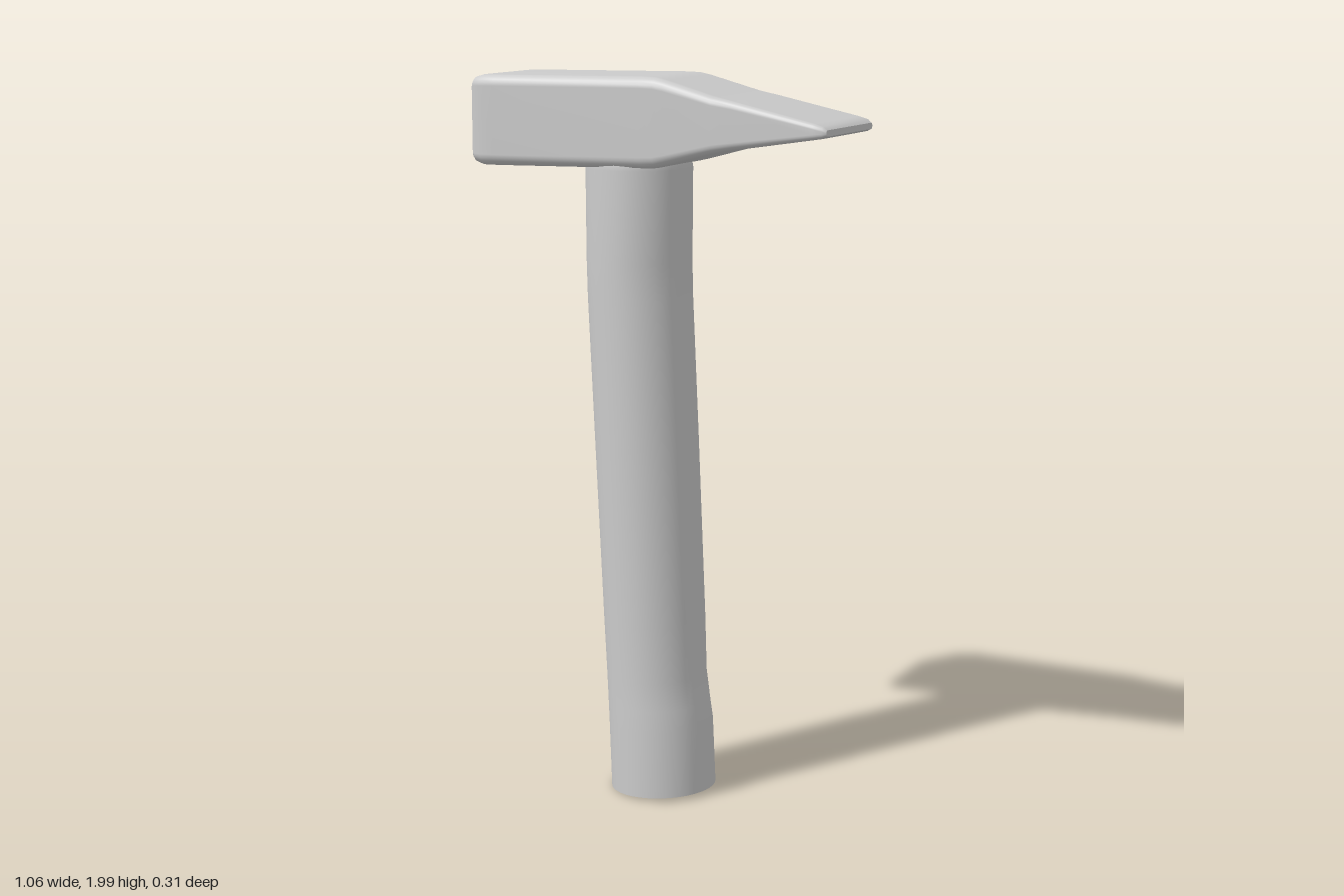
import * as THREE from 'three';

const material = new THREE.MeshStandardMaterial({ color: 0xcccccc });

// Skin a list of rings (counter-clockwise about the direction of travel), with crisp flat caps.
function loft(rings) {
  const n = rings[0].length, last = rings.length - 1;
  const points = rings.flat(), index = [];
  for (let i = 0; i < last; i++) {
    for (let j = 0; j < n; j++) {
      const a = i * n + j, b = i * n + (j + 1) % n;
      index.push(a, b, b + n, a, b + n, a + n);
    }
  }
  for (const [ring, flip] of [[rings[0], true], [rings[last], false]]) {
    const start = points.length;
    points.push(...ring);
    for (let j = 1; j < n - 1; j++) {
      if (flip) index.push(start, start + j + 1, start + j);
      else index.push(start, start + j, start + j + 1);
    }
  }
  const geometry = new THREE.BufferGeometry().setFromPoints(points);
  geometry.setIndex(index);
  geometry.computeVertexNormals();
  return geometry;
}

// Rounded rectangle across the head at a given x.
function headRing([x, top, bottom, halfZ, r]) {
  const ring = [], cy = (top + bottom) / 2, halfY = (top - bottom) / 2, steps = 5;
  for (let corner = 0; corner < 4; corner++) {
    const sy = corner === 0 || corner === 3 ? 1 : -1;
    const sz = corner < 2 ? 1 : -1;
    for (let s = 0; s <= steps; s++) {
      const a = (corner + s / steps) * Math.PI / 2;
      ring.push(new THREE.Vector3(
        x,
        cy + sy * (halfY - r) + r * Math.cos(a),
        sz * (halfZ - r) + r * Math.sin(a)
      ));
    }
  }
  return ring;
}

// Ellipse across the handle, optionally tilted.
function handleRing([y, left, right, halfZ, tilt]) {
  const ring = [], sides = 40, cx = (left + right) / 2, rx = (right - left) / 2;
  for (let j = 0; j < sides; j++) {
    const a = j / sides * Math.PI * 2, dx = rx * Math.sin(a);
    ring.push(new THREE.Vector3(cx + dx, y + tilt * dx, halfZ * Math.cos(a)));
  }
  return ring;
}

export function createModel() {
  const group = new THREE.Group();
  const add = (name, geometry) => {
    const mesh = new THREE.Mesh(geometry, material);
    mesh.name = name;
    group.add(mesh);
  };

  // Head: bevelled striking face, square body, wedge tapering to a blunt edge.
  // x, top, bottom, half depth, corner radius
  add('head', loft([
    [-0.53, 1.978, 1.762, 0.143, 0.02],
    [-0.525, 1.985, 1.755, 0.146, 0.024],
    [-0.50, 1.992, 1.748, 0.155, 0.03],
    [-0.46, 1.993, 1.748, 0.155, 0.03],
    [-0.01, 2.0, 1.759, 0.155, 0.03],
    [0.03, 1.999, 1.761, 0.155, 0.03],
    [0.06, 1.993, 1.768, 0.155, 0.029],
    [0.2, 1.956, 1.806, 0.155, 0.024],
    [0.26, 1.944, 1.818, 0.155, 0.02],
    [0.49, 1.896, 1.854, 0.155, 0.014],
    [0.515, 1.889, 1.858, 0.153, 0.012],
    [0.526, 1.88, 1.864, 0.147, 0.007],
  ].map(headRing)));

  // Handle: slightly bent shaft with a flared, tilted butt.
  // y, left, right, half depth, tilt
  add('handle', loft([
    [0.013, -0.163, 0.13, 0.146, 0.05],
    [0.2, -0.17, 0.121, 0.146, 0.04],
    [0.26, -0.173, 0.112, 0.144, 0.03],
    [0.34, -0.177, 0.101, 0.142, 0.03],
    [0.5, -0.186, 0.096, 0.143, 0.03],
    [1.0, -0.211, 0.074, 0.145, 0.03],
    [1.4, -0.231, 0.055, 0.146, 0.02],
    [1.5, -0.234, 0.053, 0.146, 0],
    [1.75, -0.236, 0.055, 0.146, 0],
    [1.78, -0.23, 0.05, 0.141, 0],
    [1.81, -0.22, 0.04, 0.132, 0],
  ].map(handleRing)));

  return group;
}
